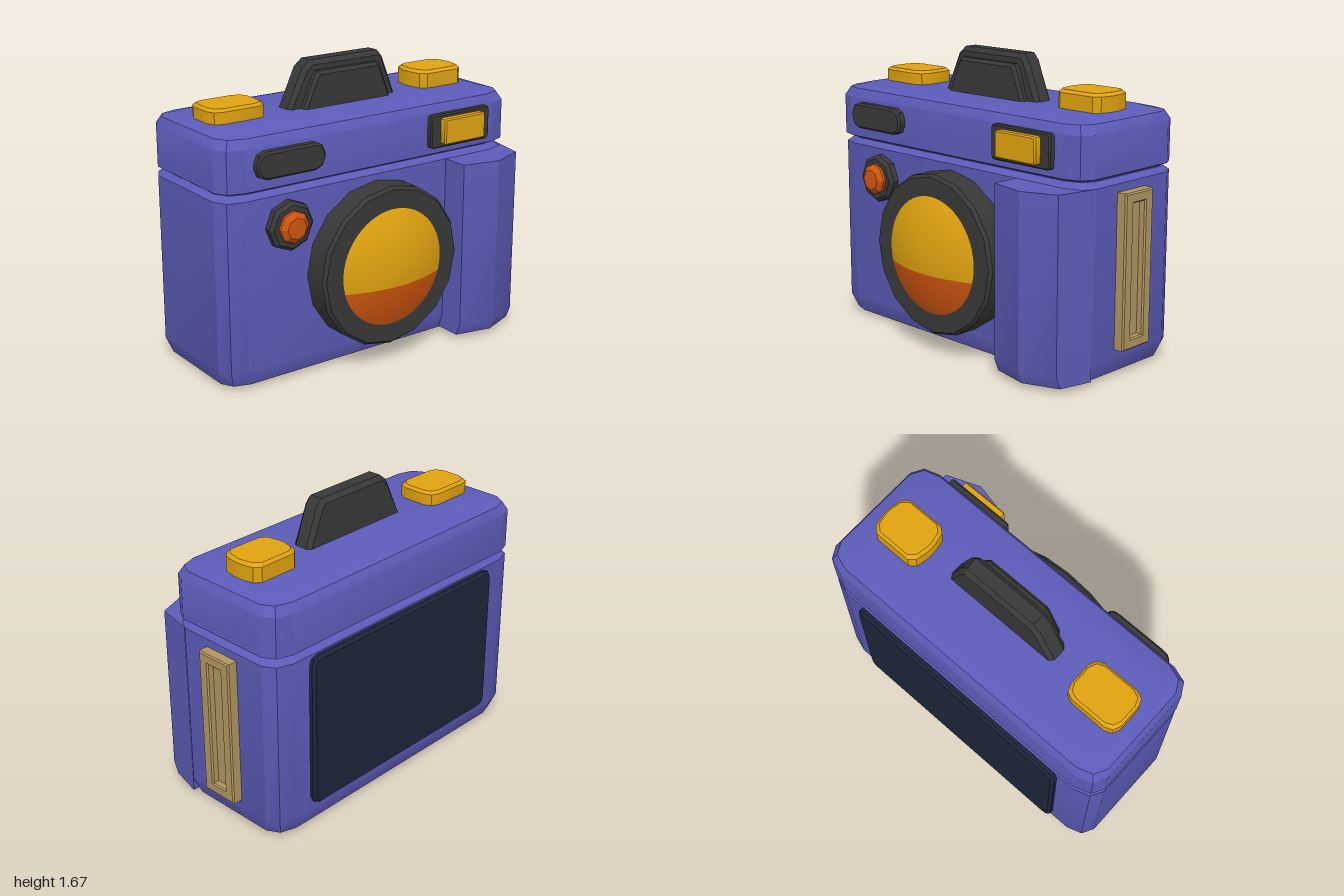
import * as THREE from 'three';
import { toCreasedNormals } from 'three/addons/utils/BufferGeometryUtils.js';

const mat = (name, color, extra = {}) => new THREE.MeshStandardMaterial({ name, color, ...extra });

// Closed solid from convex horizontal rings [y, [[x, z], ...]], counter-clockwise seen from above
function loft(rings) {
  const n = rings[0][1].length, pos = [], idx = [];
  rings.forEach(([y, pts]) => pts.forEach(([x, z]) => pos.push(x, y, z)));
  for (let r = 0; r < rings.length - 1; r++) {
    for (let i = 0; i < n; i++) {
      const a = r * n + i, b = r * n + (i + 1) % n;
      idx.push(a, b, b + n, a, b + n, a + n);
    }
  }
  const top = (rings.length - 1) * n;
  for (let i = 1; i < n - 1; i++) idx.push(0, i + 1, i, top, top + i, top + i + 1);
  const g = new THREE.BufferGeometry();
  g.setAttribute('position', new THREE.Float32BufferAttribute(pos, 3));
  g.setIndex(idx);
  return toCreasedNormals(g, 0.5);
}

// Box outline with two-step corners, cx and cz being the corner cut along each axis
function outline(x0, x1, z0, z1, cx, cz) {
  const pts = [];
  for (const [sx, sz] of [[1, 1], [1, -1], [-1, -1], [-1, 1]]) {
    const x = sx > 0 ? x1 : x0, z = sz > 0 ? z1 : z0;
    const corner = [[x - sx * cx, z], [x - sx * cx * 0.3, z - sz * cz * 0.3], [x, z - sz * cz]];
    pts.push(...(sx * sz > 0 ? corner : corner.reverse()));
  }
  return pts;
}

// Stack of outlines; each ring is [y, inset]
const slab = (x0, x1, z0, z1, cx, cz, rings) =>
  loft(rings.map(([y, i]) => [y, outline(x0 + i, x1 - i, z0 + i, z1 - i, cx, cz)]));

const polygon = (pts) => new THREE.Shape(pts.map(([x, y]) => new THREE.Vector2(x, y)));

// Bevelled plate between z0 and z1 from an XY outline
function plate(shape, z0, z1, bevel) {
  const g = new THREE.ExtrudeGeometry(shape, {
    depth: z1 - z0 - 2 * bevel, bevelEnabled: bevel > 0, bevelThickness: bevel,
    bevelSize: bevel, bevelOffset: -bevel, bevelSegments: 1, curveSegments: 4,
  });
  return toCreasedNormals(g.translate(0, 0, z0 + bevel), 0.5);
}

const rect = (x0, x1, y0, y1, c) => polygon(outline(x0, x1, y0, y1, c, c));

// Turned part facing +z
const turned = (profile, sides, x, y) => toCreasedNormals(
  new THREE.LatheGeometry(profile.map(([r, z]) => new THREE.Vector2(r, z)), sides)
    .rotateX(Math.PI / 2).translate(x, y, 0), 0.5);

// Part of a shallow glass dome between two heights (relative to its centre)
function domePart(radius, yLow, yHigh, x, y, zEdge, rise) {
  const g = new THREE.PlaneGeometry(1, 1, 16, 16), p = g.attributes.position;
  const t0 = Math.asin(yLow / radius), t1 = Math.asin(yHigh / radius);
  for (let i = 0; i < p.count; i++) {
    const t = t0 + (t1 - t0) * (p.getY(i) + 0.5);
    const py = radius * Math.sin(t);
    const px = radius * Math.cos(t) * Math.sin(p.getX(i) * Math.PI);
    const k = (px * px + py * py) / (radius * radius);
    p.setXYZ(i, x + px, y + py, zEdge + rise * (1 - k));
  }
  g.computeVertexNormals();
  return g;
}

export function createModel() {
  const group = new THREE.Group();
  group.name = 'camera';
  const purple = mat('purple', 0x5c5cba);
  const black = mat('charcoal', 0x383838);
  const yellow = mat('yellow', 0xe0a310);
  const orange = mat('orange', 0xd0560f);
  const tan = mat('tan', 0xb0965f);
  const navy = mat('navy', 0x1c2639);
  const add = (name, geometry, material) => {
    const m = new THREE.Mesh(geometry, material);
    m.name = name;
    group.add(m);
    return m;
  };

  // Body and top housing
  add('body', slab(-1, 0.94, -0.49, 0.29, 0.13, 0.1,
    [[0, 0.1], [0.025, 0.03], [0.11, 0], [1.07, 0], [1.1, 0.03], [1.13, 0.03]]), purple);
  add('topHousing', slab(-1, 0.94, -0.49, 0.3, 0.13, 0.1,
    [[1.105, 0.03], [1.12, 0], [1.35, 0], [1.4, 0.025], [1.42, 0.1]]), purple);

  // Hand grip bulging from the front
  const grip = [[0.47, 0.2], [0.47, 0.45], [0.69, 0.497], [0.89, 0.42], [0.937, 0.2]];
  add('grip', loft([
    [0.03, grip.map(([x, z]) => [x, z > 0.3 ? z - 0.03 : z])], [0.1, grip], [1.07, grip]]), purple);

  // Lens with two-tone glass
  const lx = -0.026, ly = 0.575, split = -0.09, lr = 0.335;
  add('lensRing', turned([[0.461, 0.25], [0.461, 0.425], [0.445, 0.445], [0.32, 0.445]], 16, lx, ly), black);
  add('lensGlassUpper', domePart(lr, split, lr, lx, ly, 0.446, 0.075), yellow);
  add('lensGlassLower', domePart(lr, -lr, split, lx, ly, 0.446, 0.075), orange);

  // Small front lamp
  add('lampRing', turned([[0.14, 0.27], [0.14, 0.325], [0.12, 0.345], [0, 0.345]], 8, -0.61, 0.9), black);
  add('lamp', turned([[0.092, 0.33], [0.09, 0.36], [0.06, 0.385], [0, 0.387]], 8, -0.61, 0.9), orange);

  // Front windows on the top housing
  add('sensorWindow', plate(rect(-0.82, -0.395, 1.18, 1.33, 0.06), 0.27, 0.345, 0.012), black);
  add('viewfinderFrame', plate(rect(0.325, 0.75, 1.157, 1.35, 0.02), 0.27, 0.335, 0.008), black);
  add('viewfinderGlass', plate(rect(0.392, 0.685, 1.18, 1.33, 0.015), 0.31, 0.376, 0.008), yellow);

  // Top buttons
  add('leftButton', slab(0.49, 0.817, -0.23, 0.03, 0.05, 0.1,
    [[1.4, 0], [1.505, 0], [1.522, 0.015]]), yellow);
  add('rightButton', slab(-0.89, -0.55, -0.23, 0.03, 0.06, 0.06,
    [[1.4, 0], [1.485, 0], [1.5, 0.015]]), yellow);

  // Flash hump with a lower step in front
  add('flashHump', plate(polygon([[-0.4, 1.4], [0.345, 1.4], [0.255, 1.635], [0.22, 1.675],
    [-0.24, 1.675], [-0.29, 1.635]]), -0.135, -0.01, 0.025), black);
  add('flashStep', plate(polygon([[-0.325, 1.4], [0.275, 1.4], [0.205, 1.595], [0.185, 1.62],
    [-0.22, 1.62], [-0.24, 1.595]]), -0.06, 0.033, 0.018), black);

  // Strap holder on the left side
  const frame = polygon([[-0.02, 0.165], [0.205, 0.165], [0.205, 1.025], [-0.02, 1.025]]);
  frame.holes.push(polygon([[0.045, 0.225], [0.045, 0.965], [0.14, 0.965], [0.14, 0.225]]));
  add('strapHolder', plate(frame, 0.92, 1, 0.008).rotateY(Math.PI / 2), tan);
  add('strapHolderFloor', new THREE.BoxGeometry(0.03, 0.78, 0.13).translate(0.945, 0.595, -0.0925), tan);

  // Back screen
  add('screen', plate(rect(-0.755, 0.7, 0.155, 1.06, 0.05), -0.525, -0.46, 0.015), navy);

  return group;
}
